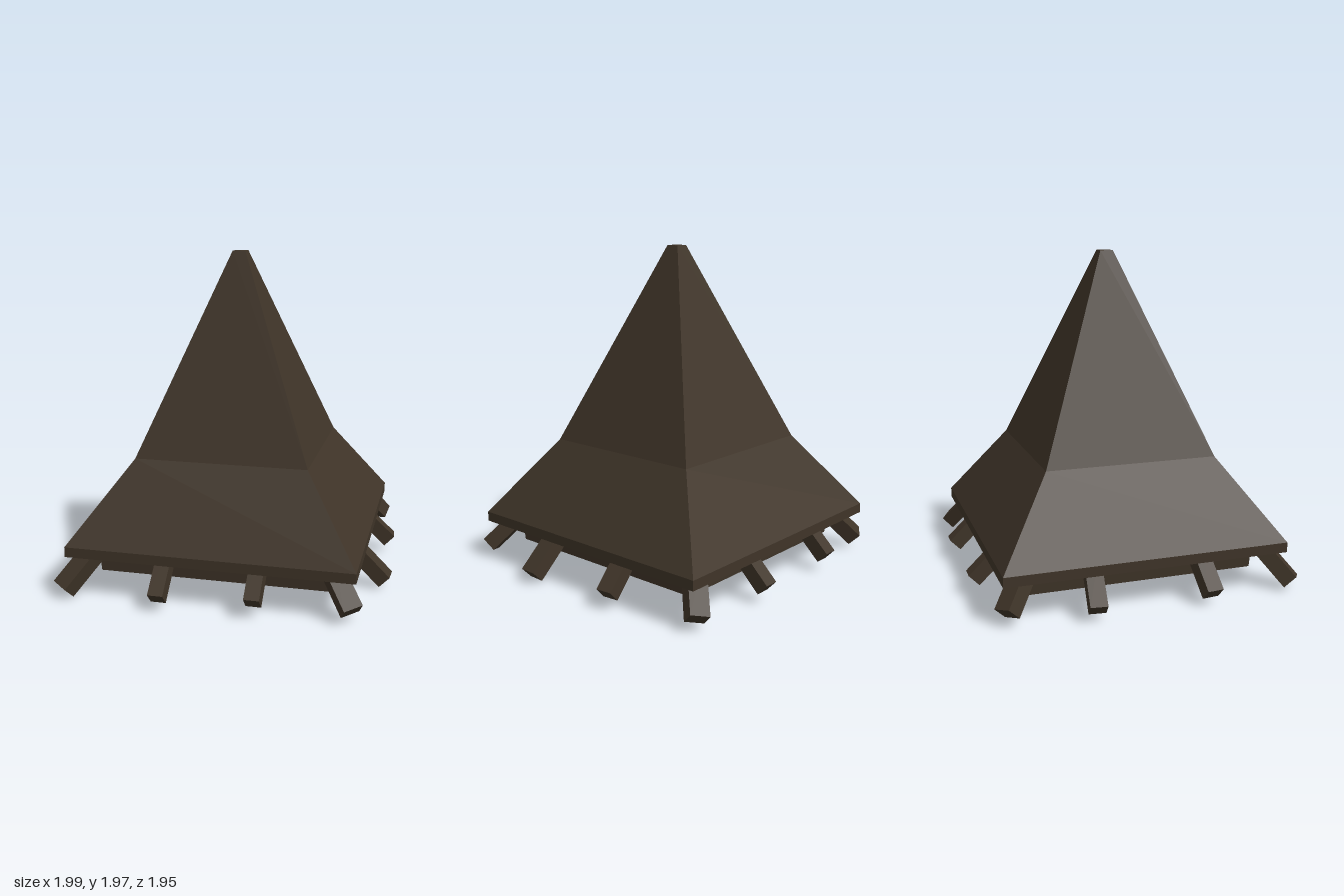
import * as THREE from 'three';

const CENTRE_X = -0.015, CENTRE_Z = -0.013;

export function createModel() {
  const group = new THREE.Group();
  const darkWood = new THREE.MeshStandardMaterial({ color: 0x3f3428 });
  darkWood.name = 'darkWood';
  darkWood.flatShading = true;

  // Square solid from [half width, height] pairs, listed bottom to top
  function squareLoft(name, profile) {
    const points = profile.map(([half, y]) => new THREE.Vector2(half * Math.SQRT2, y));
    const geometry = new THREE.LatheGeometry(points, 4, Math.PI / 4).toNonIndexed();
    geometry.computeVertexNormals();
    const mesh = new THREE.Mesh(geometry, darkWood);
    mesh.name = name;
    mesh.position.set(CENTRE_X, 0, CENTRE_Z);
    group.add(mesh);
  }

  // Beam sloping down to a square-cut end at (x, y, z), heading outward along (dx, dz)
  function rafter(name, x, y, z, dx, dz, width, height, length, roll = 0) {
    const mesh = new THREE.Mesh(new THREE.BoxGeometry(width, height, length), darkWood);
    const direction = new THREE.Vector3(dx, 0, dz).normalize();
    direction.y = -0.97;
    direction.normalize();
    mesh.name = name;
    mesh.lookAt(direction);
    mesh.rotateZ(roll);
    mesh.position.set(x, y, z).addScaledVector(direction, -length / 2);
    group.add(mesh);
  }

  // Flared spire roof with a thin vertical rim and closed soffit
  squareLoft('spireRoof', [[0, 0.26], [0.855, 0.26], [0.855, 0.32], [0.523, 0.79], [0.04, 2], [0, 2]]);

  // Base slab with a very shallow pointed underside
  squareLoft('baseSlab', [[0, 0.11], [0.69, 0.13], [0.70, 0.27], [0, 0.27]]);

  // Corner rafters, slightly rolled
  const corners = [
    [-0.87, 0.075, 0.875], [0.82, 0.10, 0.845],
    [-0.845, 0.10, -0.845], [0.82, 0.10, -0.88],
  ];
  for (const [x, y, z] of corners) {
    const sx = Math.sign(x), sz = Math.sign(z);
    rafter('cornerRafter', x, y, z, sx, sz, 0.115, 0.095, 0.40, 0.3 * sx * sz);
  }

  // Two rafters on each side, with small yaw differences
  rafter('frontRafter', -0.275, 0.10, 0.94, 0, 1, 0.09, 0.09, 0.36);
  rafter('frontRafter', 0.275, 0.12, 0.915, 0, 1, 0.09, 0.09, 0.36);
  rafter('backRafter', -0.35, 0.125, -0.94, 0, -1, 0.09, 0.09, 0.36);
  rafter('backRafter', 0.28, 0.12, -0.945, 0, -1, 0.09, 0.09, 0.36);
  rafter('rightRafter', -0.96, 0.10, -0.36, -1, -0.12, 0.10, 0.09, 0.36);
  rafter('rightRafter', -0.955, 0.10, 0.33, -1, 0.1, 0.10, 0.09, 0.36);
  rafter('leftRafter', 0.925, 0.11, -0.312, 1, -0.1, 0.10, 0.09, 0.36);
  rafter('leftRafter', 0.955, 0.075, 0.292, 1, 0.05, 0.11, 0.09, 0.38);

  return group;
}
